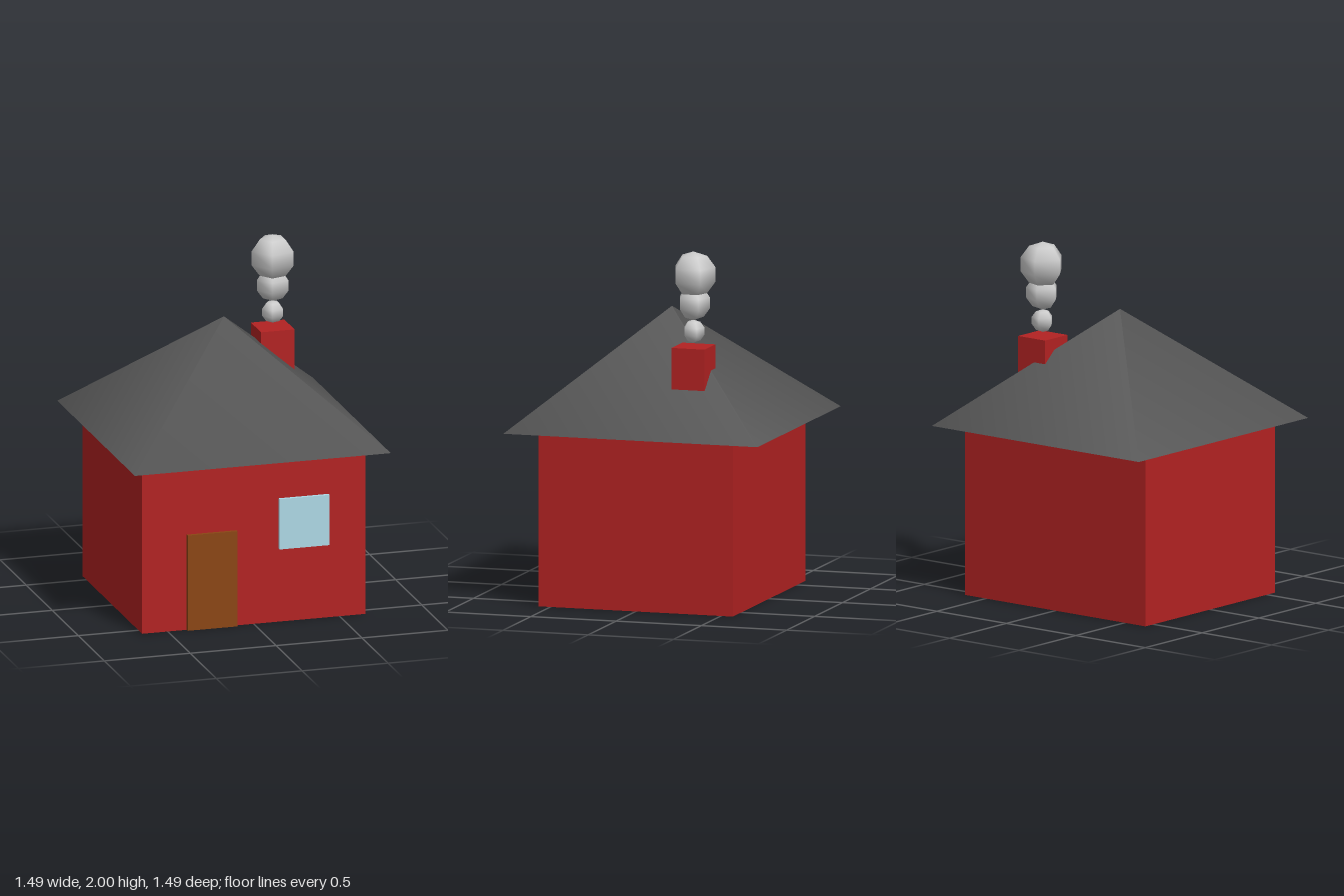
import * as THREE from 'three';

const mat = (color) => new THREE.MeshStandardMaterial({ color });

export function createModel() {
  const house = new THREE.Group();
  house.name = 'house';
  const red = mat(0xb22222);

  const add = (name, geometry, material, x, y, z) => {
    const mesh = new THREE.Mesh(geometry, material);
    mesh.name = name;
    mesh.position.set(x, y, z);
    house.add(mesh);
    return mesh;
  };
  // Box standing on height y
  const box = (name, w, h, d, material, x, y, z) =>
    add(name, new THREE.BoxGeometry(w, h, d), material, x, y + h / 2, z);

  // Walls
  box('walls', 1.3, 0.98, 1.14, red, 0, 0, 0);

  // Four-sided pyramid roof with overhanging eaves
  const roofHeight = 0.645;
  const roof = new THREE.ConeGeometry(0.745 * Math.SQRT2, roofHeight, 4).rotateY(Math.PI / 4);
  add('roof', roof, mat(0x555555), 0, 0.98 + roofHeight / 2, 0);

  // Door and window, slightly proud of the front wall
  box('door', 0.29, 0.555, 0.04, mat(0x8b4513), -0.245, 0, 0.57);
  box('window', 0.29, 0.293, 0.04, mat(0xadd8e6), 0.29, 0.426, 0.57);

  // Chimney
  const cx = 0.3575, cz = -0.243;
  box('chimney', 0.195, 0.39, 0.195, red, cx, 1.075, cz);

  // Smoke puffs growing as they rise
  const smoke = mat(0xcccccc);
  [0.065, 0.0975, 0.13].forEach((r, i) =>
    add(`smokePuff${i + 1}`, new THREE.SphereGeometry(r, 5, 5), smoke, cx, 1.55 + i * 0.16, cz));

  return house;
}
